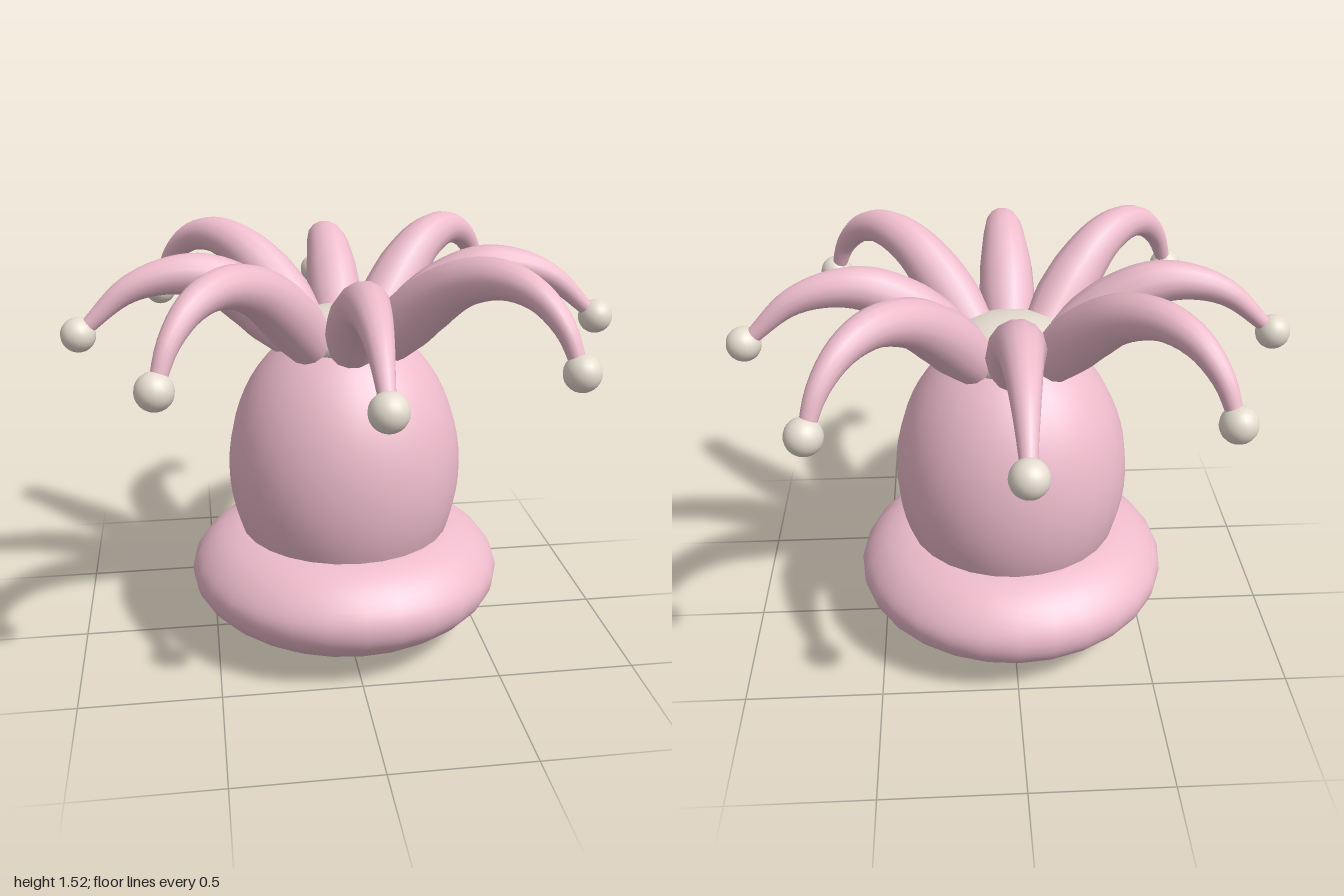
import * as THREE from 'three';

const pink = new THREE.MeshStandardMaterial({ color: 0xeebccc, side: THREE.DoubleSide });
const cream = new THREE.MeshStandardMaterial({ color: 0xe6ddd0 });
const BELL = { r: 0.938, y: 1.2, size: 0.062 };

function add(parent, name, geometry, material) {
  const mesh = new THREE.Mesh(geometry, material);
  mesh.name = name;
  parent.add(mesh);
  return mesh;
}

// Tube along a path in the XY plane whose thickness follows a list of radii
function taperedTube(points, radii, steps = 28, sides = 14) {
  const path = new THREE.CatmullRomCurve3(points.map(([x, y]) => new THREE.Vector3(x, y, 0)));
  const geo = new THREE.TubeGeometry(path, steps, 1, sides);
  const pos = geo.attributes.position;
  const v = new THREE.Vector3();
  for (let i = 0; i <= steps; i++) {
    const u = i / steps;
    const centre = path.getPointAt(u);
    const k = u * (radii.length - 1);
    const a = Math.min(Math.floor(k), radii.length - 2);
    const radius = THREE.MathUtils.lerp(radii[a], radii[a + 1], k - a);
    for (let j = 0; j <= sides; j++) {
      const n = i * (sides + 1) + j;
      v.fromBufferAttribute(pos, n).sub(centre).multiplyScalar(radius).add(centre);
      pos.setXYZ(n, v.x, v.y, v.z);
    }
  }
  return geo;
}

export function createModel() {
  const hat = new THREE.Group();
  hat.name = 'jesterHat';

  // Puffy brim with a closed, rounded underside
  const brimCurve = new THREE.SplineCurve([
    [0, 0.005], [0.25, 0.03], [0.44, 0.093], [0.55, 0.177], [0.582, 0.255],
    [0.56, 0.325], [0.49, 0.395], [0.39, 0.437], [0.3, 0.44],
  ].map(([x, y]) => new THREE.Vector2(x, y)));
  const brimProfile = brimCurve.getPoints(28);
  brimProfile[0].x = 0;
  add(hat, 'brim', new THREE.LatheGeometry(brimProfile, 28), pink);

  // Egg-shaped crown, cut off inside the brim
  const crownProfile = [];
  for (let i = 0; i <= 20; i++) {
    const t = THREE.MathUtils.lerp(-0.5, Math.PI / 2, i / 20);
    crownProfile.push(new THREE.Vector2(Math.max(0, 0.43 * Math.cos(t)), 0.67 + 0.55 * Math.sin(t)));
  }
  add(hat, 'crown', new THREE.LatheGeometry(crownProfile, 28), pink);

  // Flattened button where the horns meet
  const button = add(hat, 'topButton', new THREE.SphereGeometry(1, 28, 16), cream);
  button.scale.set(0.23, 0.1, 0.23);
  button.position.y = 1.17;

  // Eight drooping horns: low ones on the axes, taller ones on the diagonals
  const radii = [0.085, 0.102, 0.098, 0.085, 0.073, 0.06, 0.047, 0.035, 0.025];
  const lowHorn = taperedTube(
    [[0.19, 1.175], [0.35, 1.32], [0.48, 1.392], [0.61, 1.4], [0.76, 1.352], [0.92, 1.215]], radii);
  const tallHorn = taperedTube(
    [[0.19, 1.175], [0.35, 1.33], [0.49, 1.423], [0.64, 1.455], [0.77, 1.42], [0.87, 1.33], [0.93, 1.21]], radii);
  const bellGeo = new THREE.SphereGeometry(BELL.size, 20, 14);
  for (let i = 0; i < 8; i++) {
    const horn = new THREE.Group();
    horn.name = `horn${i + 1}`;
    add(horn, 'hornTube', i % 2 ? tallHorn : lowHorn, pink);
    add(horn, 'bell', bellGeo, cream).position.set(BELL.r, BELL.y, 0);
    horn.rotation.y = (i * Math.PI) / 4;
    hat.add(horn);
  }
  return hat;
}
